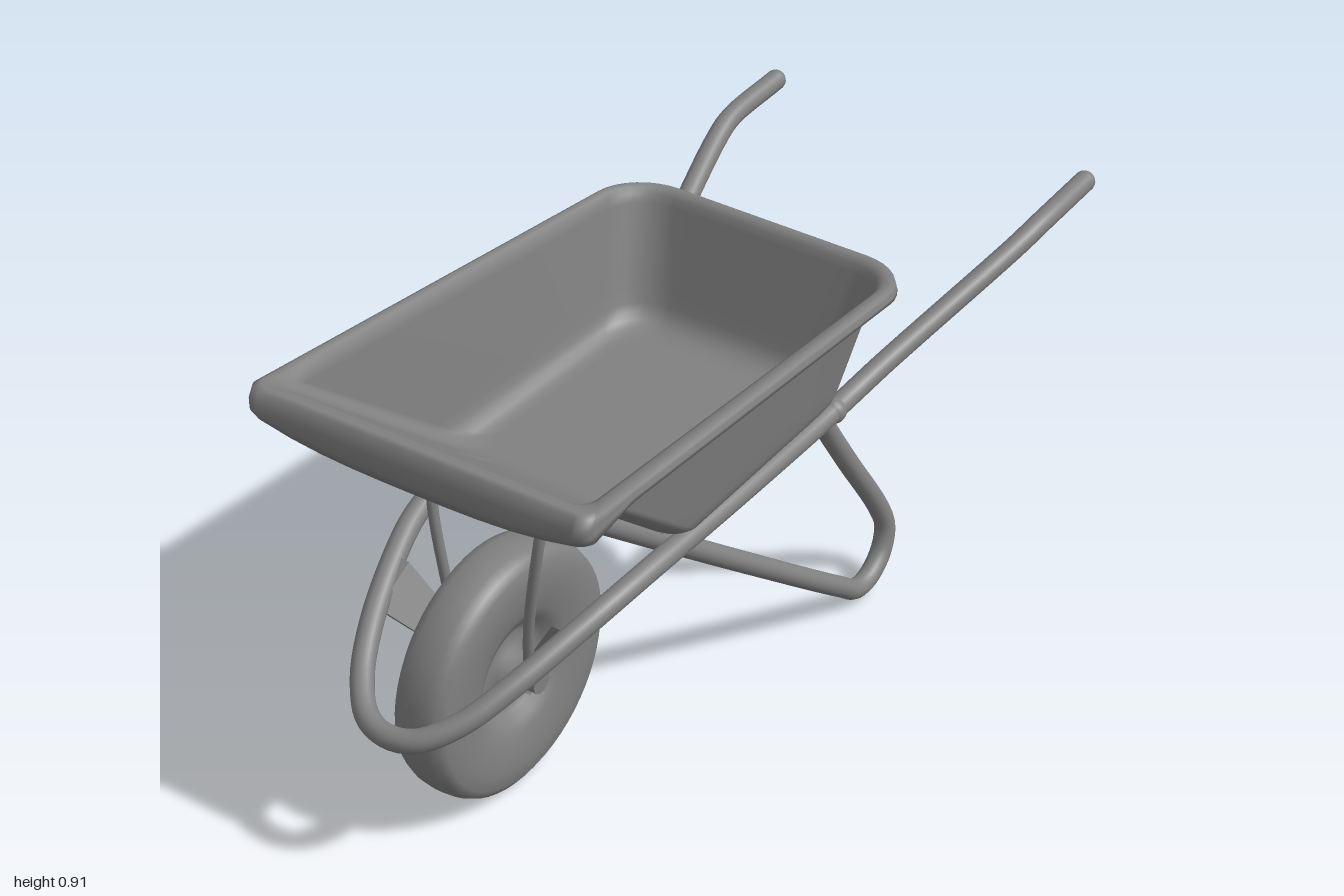
import * as THREE from 'three';

const material = new THREE.MeshStandardMaterial({ color: 0x808080, roughness: 0.8 });
const thin = new THREE.MeshStandardMaterial({ color: 0x808080, roughness: 0.8, side: THREE.DoubleSide });

const lerp = THREE.MathUtils.lerp;
const smooth = THREE.MathUtils.smoothstep;
// The frame's middle line drifts slightly sideways towards the front
const mid = (z) => Math.max(-0.005, 0.005 + 0.028 * z);
const place = (s, [h, y, z]) => new THREE.Vector3(mid(z) + s * h, y, z);

function add(group, name, geometry, mat = material) {
  const mesh = new THREE.Mesh(geometry, mat);
  mesh.name = name;
  group.add(mesh);
  return mesh;
}

// Round tube through points, closed with domed ends
function tube(group, name, points, radius, segments) {
  const curve = new THREE.CatmullRomCurve3(points, false, 'centripetal');
  add(group, name, new THREE.TubeGeometry(curve, segments, radius, 14));
  for (const p of [points[0], points[points.length - 1]]) {
    add(group, name + 'End', new THREE.SphereGeometry(radius, 14, 10)).position.copy(p);
  }
}

// One tube mirrored over the middle: half-points run from the middle outwards
function mirroredTube(group, name, half, radius, segments) {
  const right = half.slice(1).reverse().map((p) => place(-1, p));
  tube(group, name, [...right, ...half.map((p) => place(1, p))], radius, segments);
}

// Rounded outline; the x limits may differ between back and front
function outline(xb, xf, zb, zf, rBack, rFront, height) {
  const arc = 8, edge = 10, loop = [], points = [];
  [[1, 1], [-1, 1], [-1, -1], [1, -1]].forEach(([sx, sz], i) => {
    const r = sz > 0 ? rFront : rBack;
    for (let j = 0; j <= arc; j++) {
      const a = (i + j / arc) * Math.PI / 2;
      const inset = r - r * Math.abs(Math.cos(a));
      const z = (sz > 0 ? zf : zb) - sz * (r - r * Math.abs(Math.sin(a)));
      const t = (z - zb) / (zf - zb);
      const x = sx > 0 ? lerp(xb[1], xf[1], t) - inset : lerp(xb[0], xf[0], t) + inset;
      // The front edge runs slightly askew
      loop.push(new THREE.Vector3(x, height(z), z - 0.035 * Math.max(0, z) * (x + 0.35)));
    }
  });
  // Subdivide the straight edge that follows each corner
  loop.forEach((p, i) => {
    points.push(p);
    if (i % (arc + 1) === arc) {
      const q = loop[(i + 1) % loop.length];
      for (let k = 1; k < edge; k++) points.push(p.clone().lerp(q, k / edge));
    }
  });
  return points;
}

function skin(rings) {
  const n = rings[0].length, positions = [], index = [];
  rings.forEach((ring) => ring.forEach((p) => positions.push(p.x, p.y, p.z)));
  for (let r = 0; r < rings.length - 1; r++) {
    for (let i = 0; i < n; i++) {
      const a = r * n + i, b = r * n + (i + 1) % n;
      index.push(a, b, b + n, a, b + n, a + n);
    }
  }
  const geometry = new THREE.BufferGeometry();
  geometry.setAttribute('position', new THREE.Float32BufferAttribute(positions, 3));
  geometry.setIndex(index);
  geometry.computeVertexNormals();
  return geometry;
}

function tray() {
  const rimY = (z) => 0.8 + (z + 0.34) * 0.092;
  const floor = outline([-0.266, 0.284], [-0.276, 0.308], -0.215, 0.39, 0.1, 0.05, () => 0.535);
  const inner = outline([-0.32, 0.325], [-0.315, 0.375], -0.31, 0.82, 0.1, 0.04, (z) => rimY(z) - 0.01);
  const outer = outline([-0.35, 0.358], [-0.35, 0.42], -0.34, 0.87, 0.12, 0.03, rimY);
  const centre = new THREE.Vector3(0.015, 0.535, 0.1);

  const between = (from, to, k, lift = 0) => from.map((p, i) => {
    const q = p.clone().lerp(to[i], k);
    q.y += lift;
    return q;
  });
  const base = (s) => floor.map((p) => centre.clone().lerp(p, s));
  const wall = (k) => between(floor, inner, k);
  // Rounded fold from the floor into the walls
  const fold = [0, 0.2, 0.4, 0.6, 0.8, 1].map((t) =>
    between(between(base(0.82), floor, t), between(floor, wall(0.17), t), t));
  // The edge rolls down, much deeper along the front
  const roll = (k, out) => outer.map((p) => {
    const front = smooth(p.z, 0.78, 0.83);
    const sag = 1 - Math.min(1, Math.abs(p.x - 0.03) / 0.4) ** 3;
    return new THREE.Vector3(p.x + Math.sign(p.x) * 0.006 * k * (1 - front),
      p.y - k * (0.02 + front * (0.03 + 0.042 * sag)), p.z + front * out);
  });
  return skin([base(0), base(0.45), ...fold, wall(0.3), wall(0.5), wall(0.75), wall(0.93), wall(1),
    between(inner, outer, 0.35, 0.008), between(inner, outer, 0.75, 0.006),
    roll(0, 0), roll(0.35, 0.012), roll(0.7, 0.012), roll(1, 0), between(wall(0.95), roll(1, 0), 0.5), wall(0.95)]);
}

function wheel() {
  const group = new THREE.Group();
  group.name = 'wheel';
  const side = [[0.001, 0.045], [0.035, 0.045], [0.045, 0.025], [0.08, 0.02], [0.1, 0.028], [0.115, 0.046],
    [0.14, 0.056], [0.18, 0.063], [0.215, 0.064], [0.245, 0.061], [0.262, 0.05], [0.27, 0.03]];
  const profile = [...side.map(([r, w]) => [r, -w]), [0.273, 0], ...side.slice().reverse()];
  const tyre = new THREE.LatheGeometry(profile.map(([r, w]) => new THREE.Vector2(r, w)), 56);
  add(group, 'tyre', tyre.rotateZ(Math.PI / 2));
  add(group, 'axle', new THREE.CylinderGeometry(0.018, 0.018, 0.2, 16).rotateZ(Math.PI / 2));
  for (const s of [-1, 1]) {
    add(group, 'axleNut', new THREE.CylinderGeometry(0.024, 0.024, 0.025, 14).rotateZ(Math.PI / 2)).position.x = s * 0.088;
  }
  group.position.set(0.03, 0.274, 0.628);
  return group;
}

// Tapered flat arm from the frame tube down to the axle
function forkArm(s) {
  const section = (h, y, z, wide, thick) => [[-1, -1], [1, -1], [1, 1], [-1, 1]].map(([a, b]) =>
    place(s, [h + a * thick, y + b * wide * 0.45, z - b * wide * 0.9]));
  const top = section(0.185, 0.45, 0.725, 0.055, 0.012);
  const middle = section(0.115, 0.35, 0.675, 0.036, 0.01);
  const bottom = section(0.085, 0.262, 0.63, 0.022, 0.01);
  const shut = (ring) => ring.map(() => ring[0].clone().lerp(ring[2], 0.5));
  const geometry = skin([shut(top), top, middle, bottom, shut(bottom)]).toNonIndexed();
  geometry.computeVertexNormals();
  return geometry;
}

export function createModel() {
  const model = new THREE.Group();
  model.name = 'wheelbarrow';

  add(model, 'tray', tray(), thin);
  model.add(wheel());

  // Frame tube: front hoop, side rails and rising handles
  mirroredTube(model, 'frameTube', [[0, 0.328, 0.97], [0.06, 0.335, 0.955], [0.12, 0.364, 0.895],
    [0.17, 0.412, 0.8], [0.215, 0.465, 0.67], [0.24, 0.495, 0.57], [0.252, 0.508, 0.46], [0.262, 0.512, 0.2],
    [0.27, 0.517, -0.14], [0.278, 0.53, -0.24], [0.298, 0.56, -0.34], [0.388, 0.69, -0.71],
    [0.4, 0.713, -0.79], [0.402, 0.728, -0.975]], 0.024, 260);

  // Leg tube: arch under the tray's front slope, down to the feet and back up to the rails
  mirroredTube(model, 'legTube', [[0, 0.825, 0.775], [0.07, 0.821, 0.77], [0.103, 0.792, 0.735],
    [0.138, 0.683, 0.598], [0.19, 0.505, 0.372], [0.246, 0.293, 0.1], [0.3, 0.075, -0.185], [0.307, 0.037, -0.24],
    [0.309, 0.037, -0.29], [0.307, 0.07, -0.345], [0.302, 0.125, -0.368], [0.293, 0.18, -0.352],
    [0.266, 0.34, -0.26], [0.25, 0.45, -0.197], [0.245, 0.51, -0.165]], 0.023, 260);

  // Sagging crossbar joining the legs below the tray
  mirroredTube(model, 'crossbar', [[0, 0.484, 0.345], [0.08, 0.485, 0.345], [0.14, 0.493, 0.352],
    [0.185, 0.507, 0.362]], 0.027, 40);

  for (const s of [-1, 1]) {
    const side = s > 0 ? 'left' : 'right';
    add(model, side + 'ForkArm', forkArm(s));
    add(model, side + 'RailJoint', new THREE.SphereGeometry(0.028, 16, 12)).position.copy(place(s, [0.272, 0.52, -0.18]));
    // Thin stay from the arch down to the axle
    tube(model, side + 'Stay', [[0.134, 0.7, 0.635], [0.127, 0.62, 0.65], [0.098, 0.42, 0.65],
      [0.088, 0.32, 0.64], [0.085, 0.275, 0.63]].map((p) => place(s, p)), 0.011, 40);
  }
  return model;
}
